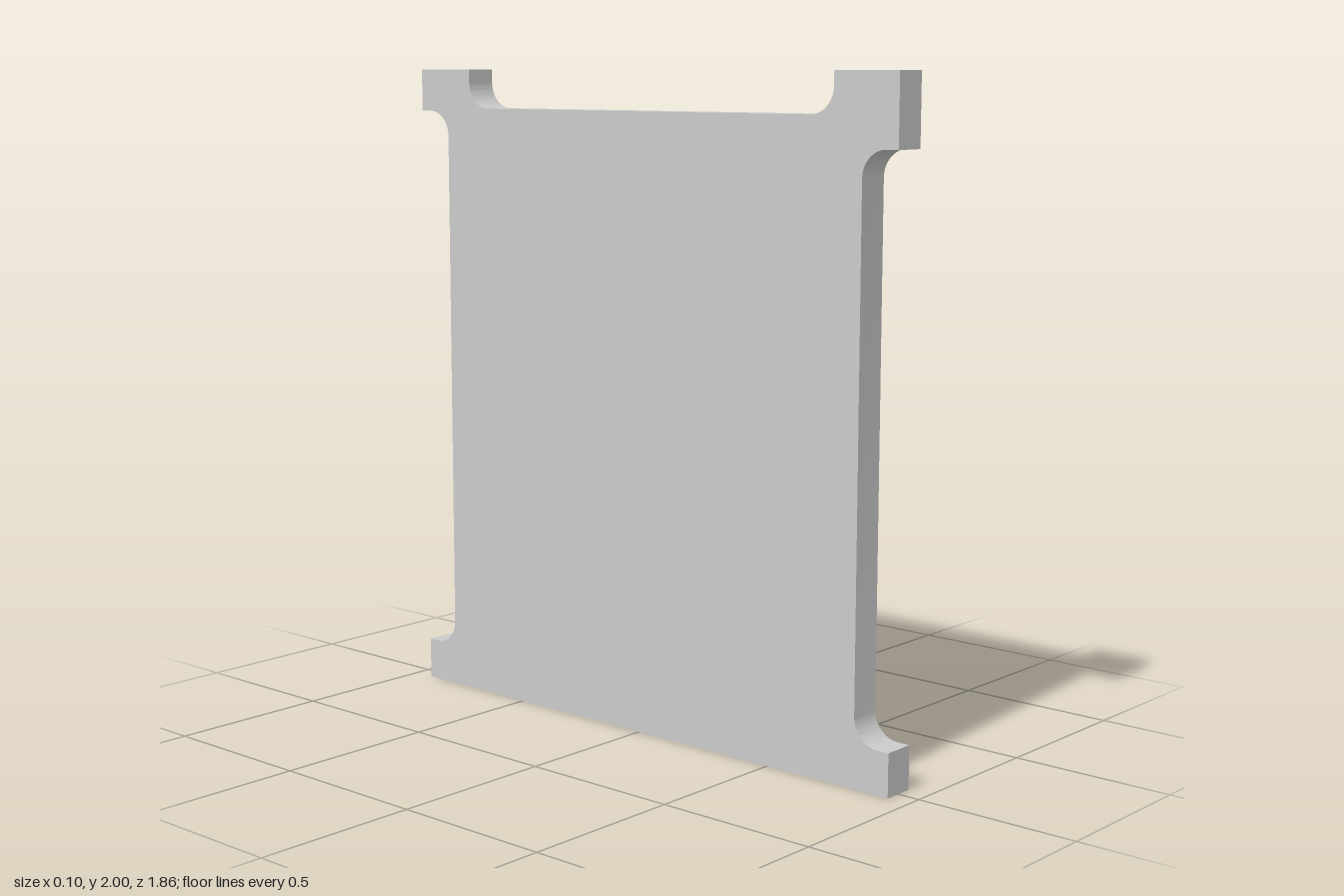
import * as THREE from 'three';
import { toCreasedNormals } from 'three/addons/utils/BufferGeometryUtils.js';

const THICK = 0.1, R = 0.08;
const OUT = 0.93, SIDE = 0.811, SLOT = 0.713; // half widths along z
const FOOT = 0.13, SLOT_Y = 1.88, TOP = 2;
const FRONT_LUG = 1.79, BACK_LUG = 1.87; // undersides of the upper lugs

export function createModel() {
  const group = new THREE.Group();
  group.name = 'notchedPanel';

  // Outline in (z, y), counter-clockwise, with a concave fillet in every notch corner
  const s = new THREE.Shape();
  const fillet = (z, y, quarter) =>
    s.absarc(z, y, R, quarter * Math.PI / 2, (quarter - 1) * Math.PI / 2, true);

  s.moveTo(-OUT, 0);
  s.lineTo(OUT, 0);
  // front edge notch
  s.lineTo(OUT, FOOT);
  fillet(SIDE + R, FOOT + R, 3);
  fillet(SIDE + R, FRONT_LUG - R, 2);
  s.lineTo(OUT, FRONT_LUG);
  s.lineTo(OUT, TOP);
  // top slot
  s.lineTo(SLOT, TOP);
  fillet(SLOT - R, SLOT_Y + R, 0);
  fillet(-SLOT + R, SLOT_Y + R, 3);
  s.lineTo(-SLOT, TOP);
  s.lineTo(-OUT, TOP);
  // back edge notch
  s.lineTo(-OUT, BACK_LUG);
  fillet(-SIDE - R, BACK_LUG - R, 1);
  fillet(-SIDE - R, FOOT + R, 0);
  s.lineTo(-OUT, FOOT);
  s.closePath();

  // Plate, turned so the outline lies in the zy plane
  const geometry = new THREE.ExtrudeGeometry(s, { depth: THICK, bevelEnabled: false, curveSegments: 16 });
  geometry.translate(0, 0, -THICK / 2);
  geometry.rotateY(-Math.PI / 2);

  const panel = new THREE.Mesh(
    toCreasedNormals(geometry, Math.PI / 6),
    new THREE.MeshStandardMaterial({ color: 0xcccccc })
  );
  panel.name = 'panel';
  group.add(panel);
  return group;
}
